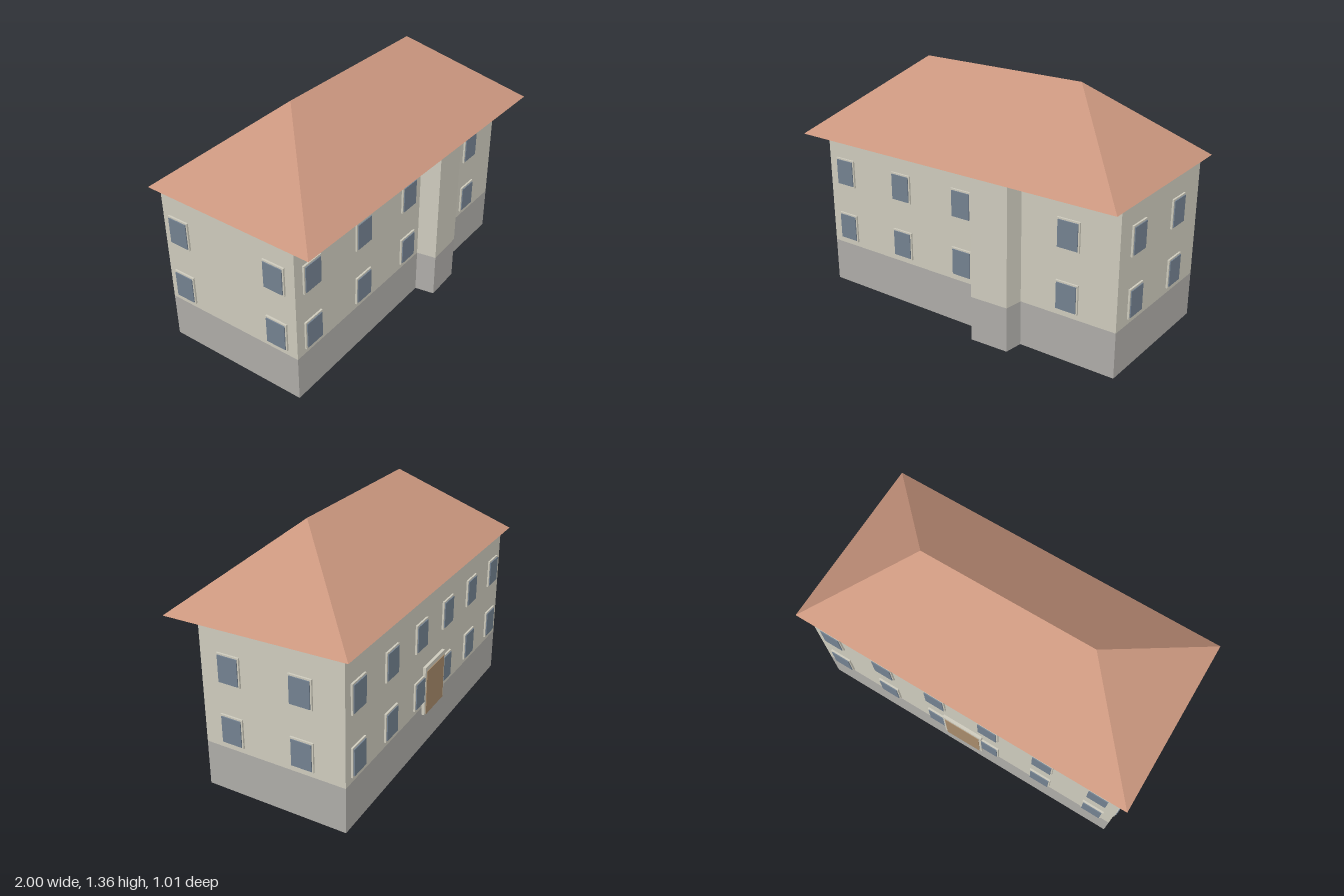
import * as THREE from 'three';

const mat = (name, color) => {
  const m = new THREE.MeshStandardMaterial({ color });
  m.name = name;
  return m;
};

export function createModel() {
  const house = new THREE.Group();
  house.name = 'house';
  const plaster = mat('plaster', 0xcfccbe);
  const stone = mat('plinth grey', 0xafada9);
  const tile = mat('roof tile', 0xca967e);
  const glass = mat('window glass', 0x748291);
  const wood = mat('door wood', 0xa88b6b);

  const EAVES = 0.94, PLINTH = 0.255, RIDGE = 1.36;

  const add = (parent, name, geometry, material) => {
    const mesh = new THREE.Mesh(geometry, material);
    mesh.name = name;
    parent.add(mesh);
    return mesh;
  };

  // Footprint as [x, z], anticlockwise from the front right-hand corner, with the stair bay in front
  const plan = [
    [-0.942, 0.372], [0.13, 0.357], [0.15, 0.467], [0.37, 0.456],
    [0.385, 0.353], [0.938, 0.345], [0.955, -0.465], [-0.958, -0.465],
  ];
  const shape = new THREE.Shape(plan.map(([x, z]) => new THREE.Vector2(x, -z)));
  const storey = (name, y0, y1, material) => {
    const g = new THREE.ExtrudeGeometry(shape, { depth: y1 - y0, bevelEnabled: false });
    g.rotateX(-Math.PI / 2).translate(0, y0, 0);
    add(house, name, g, material);
  };
  storey('plinth', 0, PLINTH, stone);
  storey('walls', PLINTH, EAVES, plaster);

  // Hipped roof with a flat underside
  const X = 0.998, Z = 0.506, R = 0.495;
  const corners = [
    [-X, EAVES, Z], [X, EAVES, Z], [X, EAVES, -Z], [-X, EAVES, -Z],
    [-R, RIDGE, 0], [R, RIDGE, 0],
  ];
  const faces = [0, 1, 5, 0, 5, 4, 1, 2, 5, 2, 3, 4, 2, 4, 5, 3, 0, 4, 0, 3, 2, 0, 2, 1];
  const roof = new THREE.BufferGeometry();
  roof.setAttribute('position', new THREE.Float32BufferAttribute(faces.flatMap(i => corners[i]), 3));
  roof.computeVertexNormals();
  add(house, 'roof', roof, tile);

  // A group on wall i, at position v along x (axis 0) or z (axis 1), facing outwards
  const onWall = (name, i, axis, v, y) => {
    const a = plan[i], b = plan[(i + 1) % plan.length];
    const t = (v - a[axis]) / (b[axis] - a[axis]);
    const g = new THREE.Group();
    g.name = name;
    g.position.set(a[0] + (b[0] - a[0]) * t, y, a[1] + (b[1] - a[1]) * t);
    g.rotation.y = Math.atan2(a[1] - b[1], b[0] - a[0]);
    house.add(g);
    return g;
  };
  const slab = (parent, name, w, h, depth, y, material) => {
    const sunk = 0.004;
    add(parent, name, new THREE.BoxGeometry(w, h, depth + sunk), material)
      .position.set(0, y, (depth - sunk) / 2);
  };

  // Two rows of windows on every side
  const rows = [
    [0, 0, [-0.82, -0.405, 0.01]],
    [4, 0, [0.66]],
    [5, 1, [0.176, -0.23]],
    [6, 0, [0.84, 0.504, 0.168, -0.168, -0.504, -0.84]],
    [7, 1, [-0.36, 0.25]],
  ];
  for (const [wall, axis, places] of rows) {
    for (const v of places) {
      for (const y of [0.368, 0.706]) {
        const w = onWall('window', wall, axis, v, y);
        slab(w, 'windowFrame', 0.13, 0.163, 0.01, 0, plaster);
        slab(w, 'windowPane', 0.114, 0.146, 0.0155, 0, glass);
      }
    }
  }

  // Back door
  const door = onWall('door', 6, 0, 0, 0.21);
  slab(door, 'doorFrame', 0.25, 0.288, 0.0165, 0.144, plaster);
  slab(door, 'doorLeaf', 0.22, 0.262, 0.02, 0.131, wood);

  return house;
}
